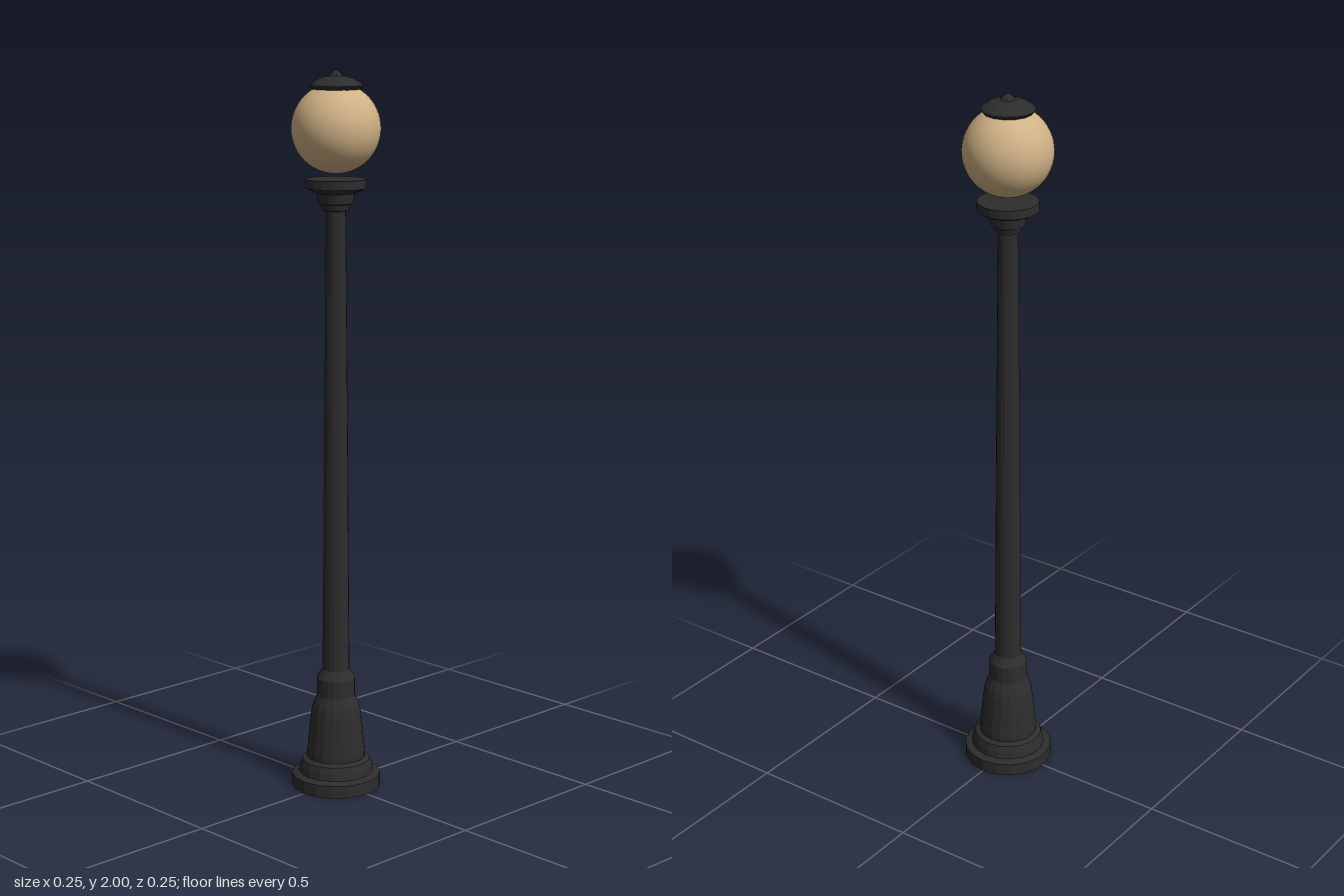
import * as THREE from 'three';

const SIDES = 18;

export function createModel() {
  const iron = new THREE.MeshStandardMaterial({ color: 0x2d2d2d, flatShading: true });
  iron.name = 'dark iron';
  const glass = new THREE.MeshStandardMaterial({ color: 0xd0b186 });
  glass.name = 'warm glass';

  const lamp = new THREE.Group();
  lamp.name = 'streetLamp';

  // Turned part from [radius, height] pairs, bottom to top
  function turned(name, profile, sides = SIDES) {
    const points = profile.map(([r, y]) => new THREE.Vector2(r, y));
    const mesh = new THREE.Mesh(new THREE.LatheGeometry(points, sides), iron);
    mesh.name = name;
    lamp.add(mesh);
  }

  // Stepped foot and flared pedestal
  turned('base', [
    [0, 0], [0.125, 0], [0.125, 0.035], [0.105, 0.042], [0.102, 0.06],
    [0.096, 0.078], [0.082, 0.085], [0.082, 0.1], [0.07, 0.215],
    [0.066, 0.235], [0.054, 0.265], [0.054, 0.315], [0.038, 0.34], [0, 0.34],
  ]);

  // Slender tapering post
  turned('post', [[0.038, 0.335], [0.036, 0.55], [0.0345, 0.78], [0.0325, 1.02], [0.03, 1.3], [0.0265, 1.64]]);

  // Collar and dish below the globe
  turned('globeHolder', [
    [0.0265, 1.624], [0.035, 1.626], [0.04, 1.642], [0.047, 1.645],
    [0.052, 1.672], [0.07, 1.679], [0.083, 1.686], [0.083, 1.71], [0, 1.71],
  ]);

  // Glass globe
  const globe = new THREE.Mesh(new THREE.SphereGeometry(0.121, 40, 28), glass);
  globe.name = 'globe';
  globe.position.y = 1.845;
  lamp.add(globe);

  // Cap on the globe with a small pointed finial
  turned('cap', [[0, 1.948], [0.064, 1.948], [0.073, 1.958], [0.069, 1.964], [0.048, 1.977], [0.025, 1.983], [0, 1.984]], 14);
  turned('finial', [[0.024, 1.981], [0.014, 1.991], [0, 2]], 7);

  return lamp;
}
